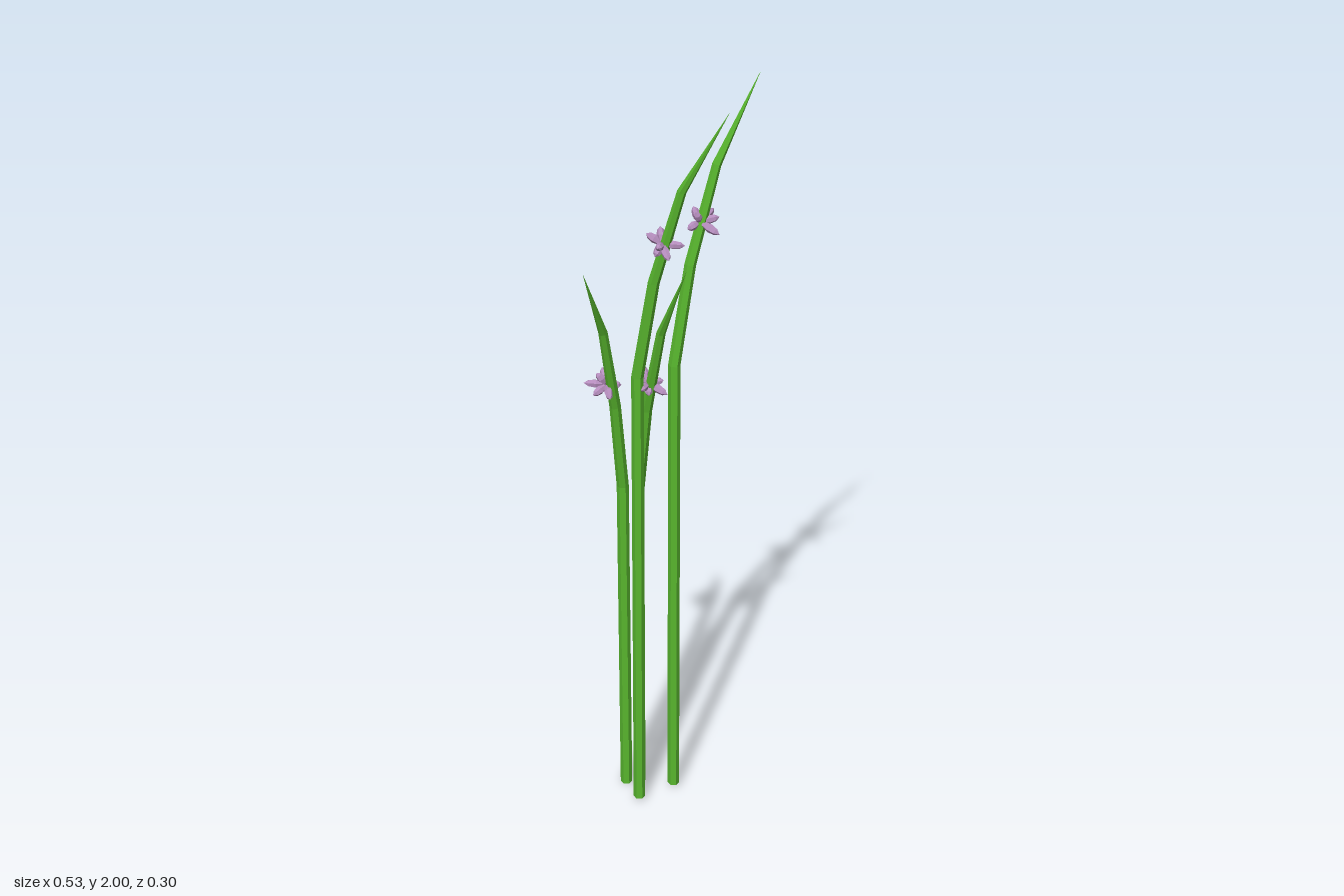
import * as THREE from 'three';

const green = new THREE.MeshStandardMaterial({ color: 0x58b62e, flatShading: true });
const purple = new THREE.MeshStandardMaterial({ color: 0xb58dbd, flatShading: true });
const UP = new THREE.Vector3(0, 1, 0);

// Each stem: base and tip (x, y, z), height where it starts to bend,
// flower centre and the petal tips relative to it
const PLANTS = [
  { base: [0.02, 0.01, -0.054], tip: [0.262, 2, -0.05], bend: 1.27, flower: [0.095, 1.64, -0.054],
    petals: [[0.055, 0.015, -0.025], [0.045, 0.01, 0.018], [0.025, -0.02, 0.052], [-0.036, -0.012, 0.002],
      [-0.008, 0.036, -0.018], [0.03, -0.025, -0.022], [-0.018, 0.032, 0.015]] },
  { base: [-0.09, 0.01, -0.045], tip: [0.056, 2, 0.15], bend: 1.27, flower: [-0.05, 1.64, 0.015],
    petals: [[-0.012, -0.02, 0.055], [-0.034, 0.01, 0.04], [0.048, -0.005, 0.028], [-0.026, 0.022, -0.03],
      [0.008, 0.036, -0.022], [0.03, 0.022, 0.005], [-0.025, -0.025, 0.01]] },
  { base: [-0.08, 0, -0.135], tip: [-0.264, 1.61, 0.013], bend: 0.92, flower: [-0.14, 1.235, -0.105],
    petals: [[-0.053, 0.008, -0.022], [-0.042, -0.018, 0.006], [0.004, 0.034, -0.03], [0.035, 0.016, -0.024],
      [0.034, -0.004, 0.014], [-0.018, -0.016, 0.05], [-0.022, 0.032, -0.012]] },
  { base: [-0.047, 0, -0.12], tip: [-0.042, 1.61, 0.12], bend: 0.9, flower: [-0.047, 1.235, -0.062],
    petals: [[-0.04, 0.004, 0.036], [0.024, -0.015, 0.056], [-0.036, 0.012, -0.012], [0.028, 0.018, -0.01],
      [0, 0.036, -0.028], [0.03, 0.01, 0.026], [-0.014, -0.02, 0.03]] },
];

// Six-sided stem that stands straight, then arches over to a pointed tip
function makeStem({ base, tip, bend }) {
  const radii = [0.0155, 0.0155, 0.0145, 0.0115, 0];
  const lean = [0, 0.015, 0.2, 0.5, 1];
  const rise = [0, 0, 0.36, 0.7, 1];
  const points = lean.map((t, i) => new THREE.Vector3(
    base[0] + (tip[0] - base[0]) * t,
    i === 0 ? base[1] : bend + (tip[1] - bend) * rise[i],
    base[2] + (tip[2] - base[2]) * t));
  // Turn each ring to follow the path
  const turns = points.map((p, i) => {
    const dir = i === 0 ? UP : points[Math.min(i + 1, 4)].clone().sub(points[i - 1]).normalize();
    return new THREE.Quaternion().setFromUnitVectors(UP, dir);
  });
  const geometry = new THREE.CylinderGeometry(1, 1, 1, 6, 4);
  const pos = geometry.attributes.position;
  const v = new THREE.Vector3();
  for (let i = 0; i < pos.count; i++) {
    v.fromBufferAttribute(pos, i);
    const ring = Math.round((v.y + 0.5) * 4);
    v.y = 0;
    v.multiplyScalar(radii[ring]).applyQuaternion(turns[ring]).add(points[ring]);
    pos.setXYZ(i, v.x, v.y, v.z);
  }
  geometry.computeVertexNormals();
  const stem = new THREE.Mesh(geometry, green);
  stem.name = 'stem';
  return stem;
}

// Plump pointed petal, one unit long
const petalGeometry = new THREE.LatheGeometry(
  [[0, 0], [0.13, 0.15], [0.22, 0.5], [0.17, 0.8], [0, 1]].map(([r, y]) => new THREE.Vector2(r, y)), 6);

function makeFlower({ flower, petals }) {
  const group = new THREE.Group();
  group.name = 'flower';
  group.position.set(...flower);
  for (const end of petals) {
    const dir = new THREE.Vector3(...end);
    const length = dir.length();
    const petal = new THREE.Mesh(petalGeometry, purple);
    petal.name = 'petal';
    petal.scale.set(0.05, length, 0.05);
    petal.quaternion.setFromUnitVectors(UP, dir.normalize());
    group.add(petal);
  }
  return group;
}

export function createModel() {
  const model = new THREE.Group();
  model.name = 'floweringReeds';
  for (const plant of PLANTS) {
    const reed = new THREE.Group();
    reed.name = 'reed';
    reed.add(makeStem(plant), makeFlower(plant));
    model.add(reed);
  }
  return model;
}
